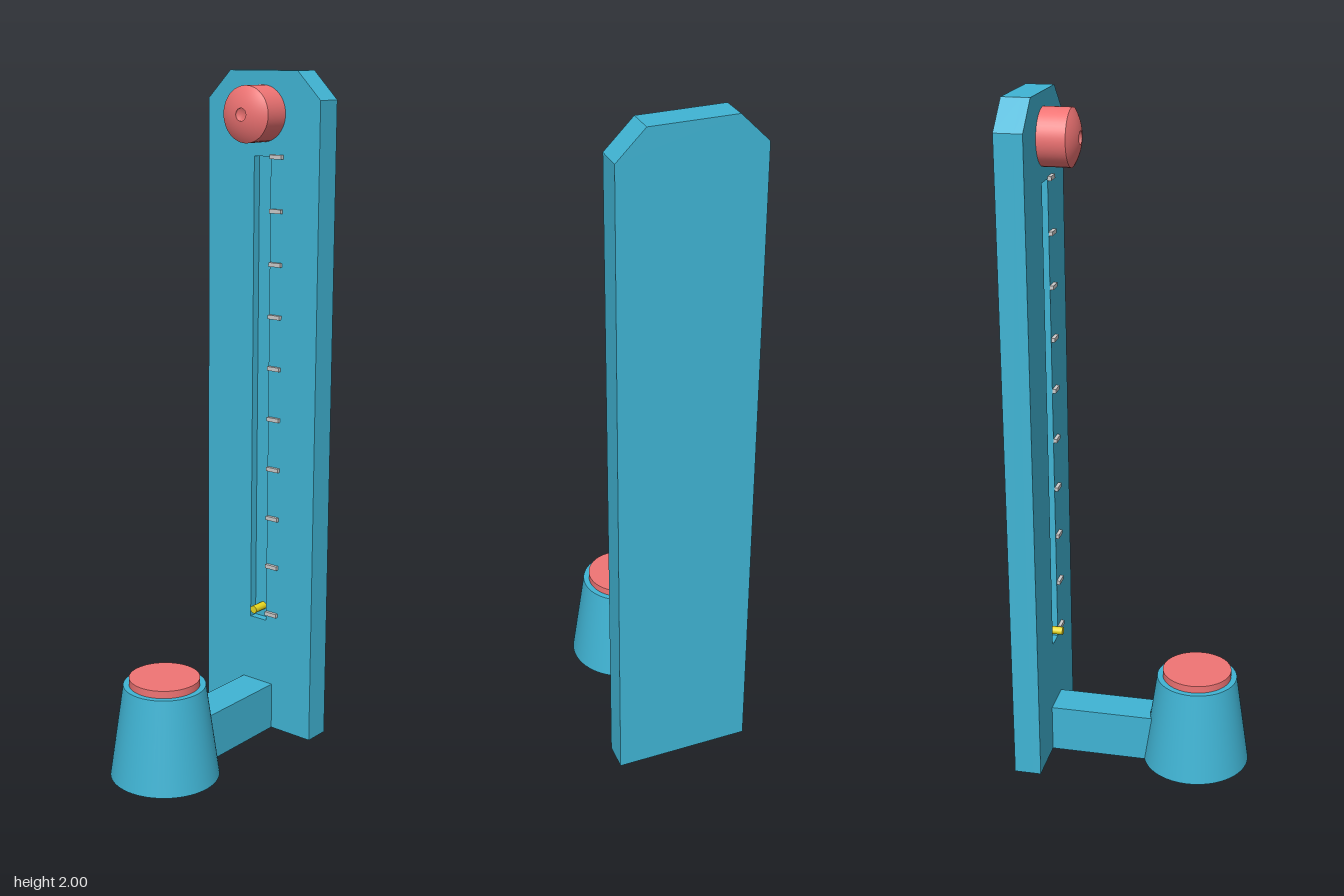
import * as THREE from 'three';

const teal = new THREE.MeshStandardMaterial({ color: 0x40b4d4 });
const red = new THREE.MeshStandardMaterial({ color: 0xf07474 });
const yellow = new THREE.MeshStandardMaterial({ color: 0xe8d820 });
const grey = new THREE.MeshStandardMaterial({ color: 0xcccccc });

const BOARD_FRONT = -0.26, BOARD_BACK = -0.34, GROOVE_DEPTH = 0.025;
const BASE_Z = 0.18;

export function createModel() {
  const model = new THREE.Group();
  const add = (name, geometry, material, x = 0, y = 0, z = 0, parent = model) => {
    const mesh = new THREE.Mesh(geometry, material);
    mesh.name = name;
    mesh.position.set(x, y, z);
    parent.add(mesh);
    return mesh;
  };

  // Tower board with clipped top corners: solid back layer, slotted front layer
  const outline = () => new THREE.Shape([
    [-0.2, 0], [0.2, 0], [0.2, 1.92], [0.12, 2], [-0.12, 2], [-0.2, 1.92],
  ].map(([x, y]) => new THREE.Vector2(x, y)));
  const layer = (shape, depth) => new THREE.ExtrudeGeometry(shape, { depth, bevelEnabled: false });
  const slotted = outline();
  slotted.holes.push(new THREE.Path([
    [-0.03, 0.35], [-0.03, 1.76], [0.03, 1.76], [0.03, 0.35],
  ].map(([x, y]) => new THREE.Vector2(x, y))));
  const tower = new THREE.Group();
  tower.name = 'tower';
  model.add(tower);
  const grooveFloor = BOARD_FRONT - GROOVE_DEPTH;
  add('towerBack', layer(outline(), grooveFloor - BOARD_BACK), teal, 0, 0, BOARD_BACK, tower);
  add('towerFront', layer(slotted, GROOVE_DEPTH), teal, 0, 0, grooveFloor, tower);

  // Scale marks beside the groove
  const scale = new THREE.Group();
  scale.name = 'scaleMarks';
  model.add(scale);
  const mark = new THREE.BoxGeometry(0.042, 0.012, 0.02);
  for (let i = 0; i < 10; i++) {
    add('scaleMark', mark, grey, 0.053, 0.376 + i * 0.1538, BOARD_FRONT, scale);
  }

  // Slider riding in the groove
  const slider = new THREE.CylinderGeometry(0.012, 0.012, 0.05, 12).rotateX(Math.PI / 2);
  add('slider', slider, yellow, 0, 0.385, -0.26);

  // Bell: cylinder side, then a shallow dome with a small central dimple
  const side = [[0.08, 0], [0.08, 0.08]].map(([r, h]) => new THREE.Vector2(r, h));
  const R = 0.15, dome = [];
  for (let i = 0; i <= 8; i++) {
    const r = 0.08 - (0.08 - 0.018) * i / 8;
    dome.push(new THREE.Vector2(r, 0.103 - R + Math.sqrt(R * R - r * r)));
  }
  const dimple = [[0.018, 0.102], [0.018, 0.094], [0, 0.094]].map(([r, h]) => new THREE.Vector2(r, h));
  const bell = new THREE.Group();
  bell.name = 'bell';
  bell.position.set(0, 1.88, BOARD_FRONT);
  model.add(bell);
  const turned = (points) => new THREE.LatheGeometry(points, 48).rotateX(Math.PI / 2);
  add('bellSide', turned(side), red, 0, 0, 0, bell);
  add('bellDome', turned(dome), red, 0, 0, 0, bell);
  add('bellDimple', turned(dimple), red, 0, 0, 0, bell);

  // Arm joining the tower to the base, with an end curved around the base
  const w = 0.055, r = 0.14, a = Math.acos(w / r);
  const armShape = new THREE.Shape();
  armShape.moveTo(w, -BOARD_FRONT);
  armShape.lineTo(-w, -BOARD_FRONT);
  armShape.lineTo(-w, -BASE_Z + r * Math.sin(a));
  armShape.absarc(0, -BASE_Z, r, Math.PI - a, a, true);
  armShape.closePath();
  add('arm', layer(armShape, 0.145).rotateX(-Math.PI / 2), teal);

  // Tapered base and its striking pad
  add('base', new THREE.CylinderGeometry(0.12, 0.16, 0.28, 64), teal, 0, 0.14, BASE_Z);
  add('strikePad', new THREE.CylinderGeometry(0.103, 0.103, 0.03, 64), red, 0, 0.287, BASE_Z);

  return model;
}
